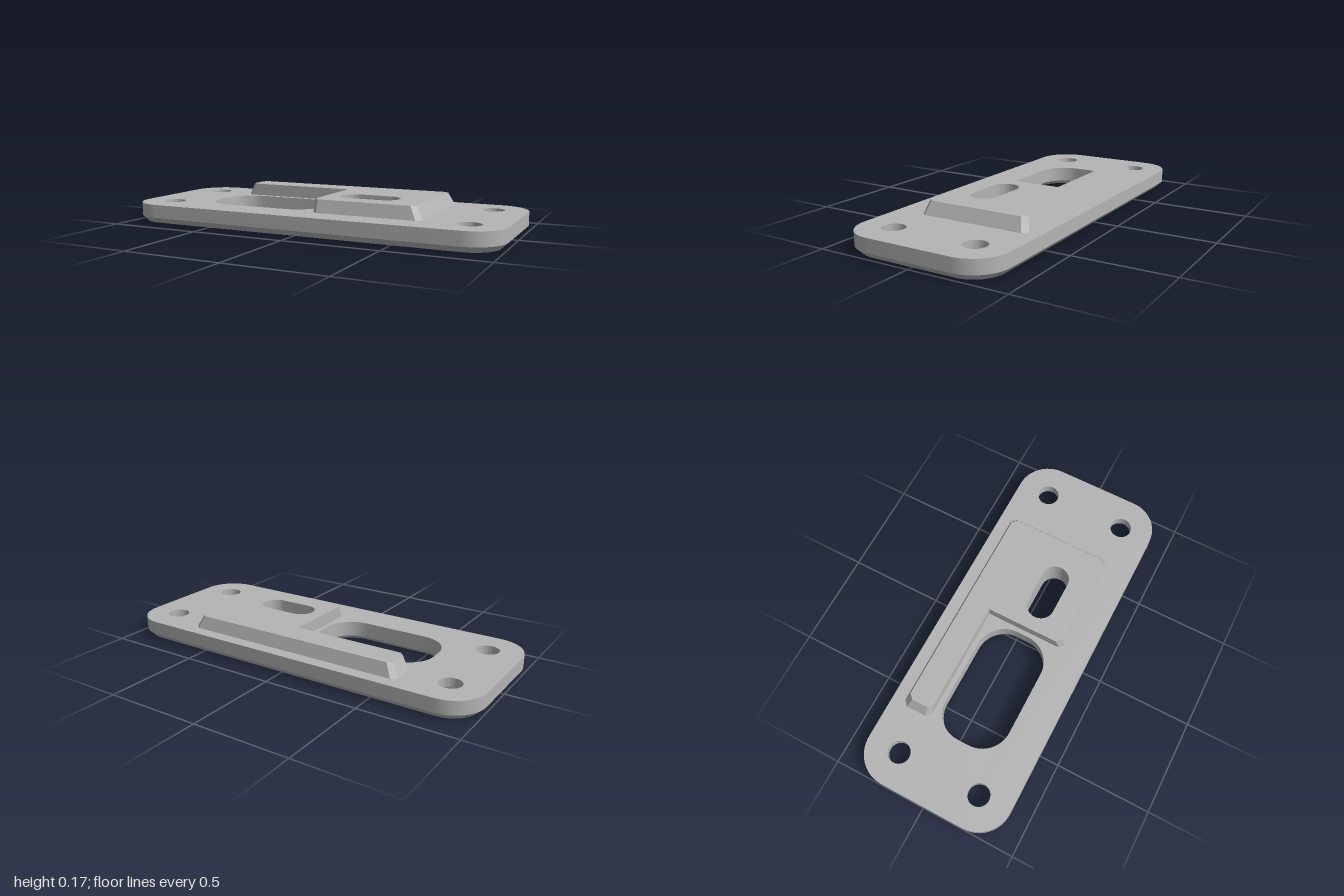
import * as THREE from 'three';
import { toCreasedNormals } from 'three/addons/utils/BufferGeometryUtils.js';

// Rounded rectangle contour in the x-z plane; a full radius gives a circle or slot
function roundRect(cx, cz, hw, hz, r, grow = 0) {
  const pts = [], n = 12;
  const ex = hw - r, ez = hz - r, R = r + grow;
  [[1, 1], [-1, 1], [-1, -1], [1, -1]].forEach(([sx, sz], q) => {
    for (let i = 0; i <= n; i++) {
      const a = (q + i / n) * Math.PI / 2;
      const p = new THREE.Vector2(cx + sx * ex + R * Math.cos(a), cz + sz * ez + R * Math.sin(a));
      if (!pts.length || p.distanceTo(pts[pts.length - 1]) > 1e-5) pts.push(p);
    }
  });
  if (pts[0].distanceTo(pts[pts.length - 1]) < 1e-5) pts.pop();
  return pts;
}

// Wall through contours stacked at heights: levels = [[y, contour], ...]
function wallGeometry(levels, inward = false) {
  const pos = [];
  for (let k = 0; k < levels.length - 1; k++) {
    const [y0, lo] = levels[k], [y1, hi] = levels[k + 1];
    for (let i = 0; i < lo.length; i++) {
      const j = (i + 1) % lo.length;
      const a = [lo[i].x, y0, lo[i].y], b = [hi[i].x, y1, hi[i].y];
      const c = [hi[j].x, y1, hi[j].y], d = [lo[j].x, y0, lo[j].y];
      const tris = inward ? [a, c, b, a, d, c] : [a, b, c, a, c, d];
      tris.forEach((p) => pos.push(...p));
    }
  }
  const geo = new THREE.BufferGeometry();
  geo.setAttribute('position', new THREE.Float32BufferAttribute(pos, 3));
  return toCreasedNormals(geo, 0.5);
}

// Flat face at height y, facing up or down, with holes
function capGeometry(y, outline, holes, up) {
  const s = up ? -1 : 1;
  const flat = (c) => c.map((p) => new THREE.Vector2(p.x, s * p.y));
  const shape = new THREE.Shape(flat(outline));
  holes.forEach((h) => shape.holes.push(new THREE.Path(flat(h))));
  return new THREE.ShapeGeometry(shape).rotateX(s * Math.PI / 2).translate(0, y, 0);
}

const contour = (list) => list.map(([x, z]) => new THREE.Vector2(x, z));

export function createModel() {
  const metal = new THREE.MeshStandardMaterial({ color: 0xb4b4b4 });
  metal.name = 'grey metal';
  const model = new THREE.Group();
  model.name = 'mountingPlate';
  const add = (name, geo, parent) => {
    const mesh = new THREE.Mesh(geo, metal);
    mesh.name = name;
    parent.add(mesh);
  };
  const plate = new THREE.Group();
  plate.name = 'basePlate';
  const pad = new THREE.Group();
  pad.name = 'raisedPad';
  model.add(plate, pad);

  const T = 0.1, H = 0.165; // plate top and pad top

  // Plate outline, chamfered along the bottom
  const edge = (grow) => roundRect(0, 0, 1, 0.4, 0.175, grow);
  add('plateEdge', wallGeometry([[0, edge(-0.03)], [0.03, edge(0)], [T, edge(0)]]), plate);

  // Large window and small slot, both eased at the bottom
  const window = (grow) => roundRect(-0.312, 0.032, 0.323, 0.182, 0.15, grow);
  const slot = (grow) => roundRect(0.264, 0.052, 0.158, 0.072, 0.072, grow);
  add('windowWall', wallGeometry([[0, window(0.02)], [0.02, window(0)], [T, window(0)]], true), plate);
  add('slotWall', wallGeometry([[0, slot(0.015)], [0.015, slot(0)], [H, slot(0)]], true), pad);

  // Countersunk screw holes
  const topHoles = [window(0)], bottomHoles = [window(0.02), slot(0.015)];
  for (const x of [-0.825, 0.825]) {
    for (const z of [-0.225, 0.225]) {
      const hole = (grow) => roundRect(x, z, 0.057, 0.057, 0.057, grow);
      add('screwHole', wallGeometry([[0, hole(0.048)], [0.05, hole(0)], [T, hole(0)]], true), plate);
      topHoles.push(hole(0));
      bottomHoles.push(hole(0.048));
    }
  }

  // L-shaped pad: sloped outer sides, upright inner sides
  const padFoot = contour([
    [-0.605, -0.31], [-0.58, -0.335], [0.575, -0.335], [0.602, -0.31],
    [0.602, 0.232], [0.575, 0.255], [0.06, 0.255], [0.035, 0.232],
    [0.035, -0.178], [-0.58, -0.178], [-0.605, -0.203],
  ]);
  const padTop = contour([
    [-0.572, -0.288], [-0.548, -0.312], [0.545, -0.312], [0.568, -0.288],
    [0.568, 0.211], [0.545, 0.235], [0.06, 0.235], [0.035, 0.211],
    [0.035, -0.178], [-0.55, -0.178], [-0.572, -0.2],
  ]);
  add('padSides', wallGeometry([[T, padFoot], [H, padTop]]), pad);
  add('padTop', capGeometry(H, padTop, [slot(0)], true), pad);

  // Plate faces
  add('plateTop', capGeometry(T, edge(0), [...topHoles, padFoot], true), plate);
  add('plateBottom', capGeometry(0, edge(-0.03), bottomHoles, false), plate);
  return model;
}
